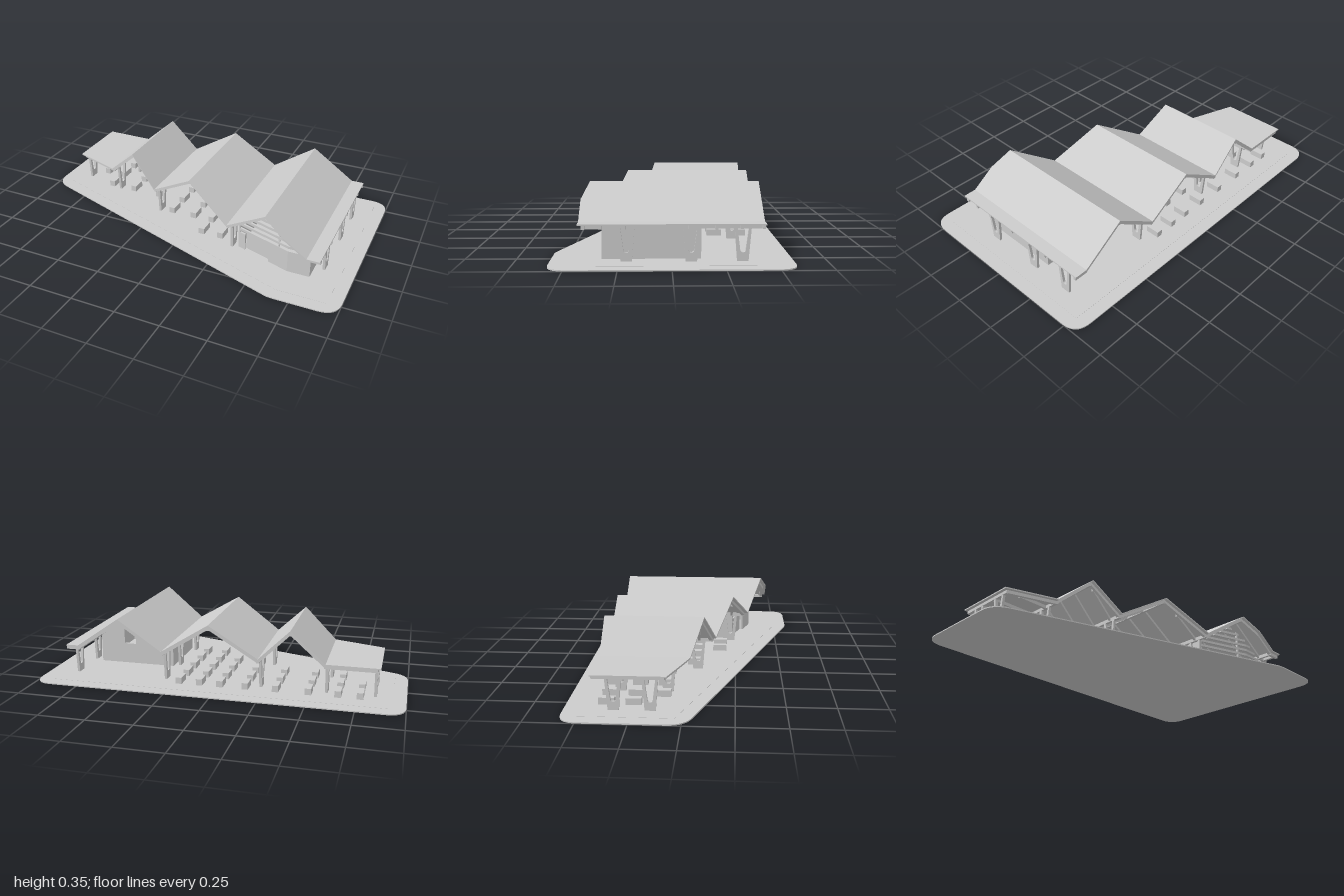
import * as THREE from 'three';

const mat = new THREE.MeshStandardMaterial({ color: 0xcccccc, flatShading: true, side: THREE.DoubleSide });
const FLOOR = 0.007;
const KINK = 0.66; // where the slanted front turns straight

// Folded roof line, left to right
const fold = [[-0.865, 0.19], [-0.585, 0.19], [-0.4, 0.355], [-0.23, 0.19], [0.04, 0.355],
  [0.305, 0.19], [0.55, 0.355], [0.79, 0.19], [0.86, 0.19]];

function roofY(x) {
  for (let i = 1; i < fold.length; i++) {
    const [x0, y0] = fold[i - 1], [x1, y1] = fold[i];
    if (x <= x1) return y0 + (y1 - y0) * (x - x0) / (x1 - x0);
  }
  return 0.19;
}
const roofFront = x => Math.min(0.445, 0.445 + (x - KINK) * 0.343);
const wallFront = x => Math.min(0.335, 0.335 + (x - KINK) * 0.343);

function add(parent, name, geometry) {
  const mesh = new THREE.Mesh(geometry, mat);
  mesh.name = name;
  parent.add(mesh);
  return mesh;
}

function group(parent, name) {
  const g = new THREE.Group();
  g.name = name;
  parent.add(g);
  return g;
}

// Block between two x values; its other limits are numbers or functions of x
function block(x0, x1, bottom, top, back, front) {
  const at = (f, x) => (typeof f === 'function' ? f(x) : f);
  const geo = new THREE.BoxGeometry(1, 1, 1);
  const p = geo.attributes.position;
  for (let i = 0; i < p.count; i++) {
    const x = p.getX(i) < 0 ? x0 : x1;
    p.setXYZ(i, x, at(p.getY(i) < 0 ? bottom : top, x), at(p.getZ(i) < 0 ? back : front, x));
  }
  geo.computeVertexNormals();
  return geo;
}

// Band following the roof line, starting at xStart, split at each fold
function band(parent, name, xStart, drop0, drop1, back, front) {
  const xs = [...fold.map(f => f[0]), KINK].filter(x => x > xStart).sort((a, b) => a - b);
  let x0 = Math.max(xStart, fold[0][0]);
  for (const x1 of xs) {
    add(parent, name, block(x0, x1, x => roofY(x) - drop1, x => roofY(x) - drop0, back, front));
    x0 = x1;
  }
}

// Flat slab from [x, z] corners with rounding radii
function slab(corners, height) {
  const shape = new THREE.Shape();
  const pts = corners.map(c => new THREE.Vector2(c[0], c[1]));
  pts.forEach((c, i) => {
    const r = corners[i][2];
    const toward = q => q.clone().sub(c).setLength(r).add(c);
    const a = toward(pts[(i + pts.length - 1) % pts.length]);
    const b = toward(pts[(i + 1) % pts.length]);
    if (i) shape.lineTo(a.x, a.y); else shape.moveTo(a.x, a.y);
    shape.quadraticCurveTo(c.x, c.y, b.x, b.y);
  });
  shape.closePath();
  return new THREE.ExtrudeGeometry(shape, { depth: height, bevelEnabled: false, curveSegments: 10 })
    .rotateX(Math.PI / 2).translate(0, height, 0);
}

// Tapered column with a deep rounded notch, seen from the side
function columnGeometry() {
  const s = new THREE.Shape();
  s.moveTo(-0.027, FLOOR);
  s.lineTo(0.027, FLOOR);
  s.lineTo(0.04, 0.168);
  s.lineTo(0.027, 0.168);
  s.lineTo(0.013, 0.06);
  s.quadraticCurveTo(0.011, 0.05, 0, 0.05);
  s.quadraticCurveTo(-0.011, 0.05, -0.013, 0.06);
  s.lineTo(-0.027, 0.168);
  s.lineTo(-0.04, 0.168);
  s.closePath();
  return new THREE.ExtrudeGeometry(s, { depth: 0.014, bevelEnabled: false, curveSegments: 5 })
    .translate(0, 0, -0.007).rotateY(-Math.PI / 2);
}

export function createModel() {
  const model = new THREE.Group();
  model.name = 'marketPavilion';

  // Paved ground with a slightly raised inner floor
  add(model, 'pavement', slab([[-1, -0.585, 0.1], [1, -0.585, 0.1], [1, 0.58, 0.1],
    [0.64, 0.58, 0.03], [-1, 0.018, 0.09]], FLOOR - 0.001));
  add(model, 'innerFloor', slab([[-0.93, -0.515, 0.005], [0.93, -0.515, 0.005], [0.93, 0.51, 0.005],
    [0.66, 0.51, 0.005], [-0.93, -0.035, 0.005]], FLOOR));

  // Folded roof: sheet, edge rafters and inner rafters
  const roof = group(model, 'roof');
  band(roof, 'roofSheet', -1, 0, 0.007, -0.45, roofFront);
  band(roof, 'frontRafter', -0.84, 0.007, 0.025, x => roofFront(x) - 0.035, x => roofFront(x) - 0.018);
  for (const z of [-0.445, -0.34, -0.22, -0.095, 0.04, 0.215, 0.33]) {
    const xStart = Math.max(-0.84, KINK + (z + 0.05 - 0.445) / 0.343);
    band(roof, 'rafter', xStart, 0.007, 0.025, z, z + 0.014);
  }
  // Beams along valleys, ridges and eaves
  for (const x of [-0.84, -0.585, -0.23, 0.305, 0.79, 0.835]) {
    add(roof, 'valleyBeam', block(x - 0.008, x + 0.008, 0.166, 0.186, -0.445, v => roofFront(v) - 0.018));
  }
  for (const x of [-0.4, 0.04, 0.55]) {
    add(roof, 'ridgeBeam', block(x - 0.007, x + 0.007, 0.325, 0.343, -0.445, v => roofFront(v) - 0.02));
  }

  // Columns under the valleys and eaves
  const columns = group(model, 'columns');
  const colGeo = columnGeometry();
  const places = [[-0.84, [-0.34, -0.16]], [-0.585, [-0.34, -0.095]], [-0.23, [-0.34, 0.04]],
    [0.308, [-0.34, -0.095, 0.215]], [0.835, [-0.34, -0.095, 0.215]]];
  for (const [x, zs] of places) {
    for (const z of zs) add(columns, 'column', colGeo).position.set(x, 0, z);
  }

  // Enclosed kiosk below the widest gable
  const kiosk = group(model, 'kiosk');
  const under = x => roofY(x) - 0.026;
  add(kiosk, 'rightHandWall', block(0.773, 0.785, FLOOR, under, -0.145, 0.335));
  add(kiosk, 'leftHandWall', block(0.34, 0.352, FLOOR, under, -0.145, wallFront));
  for (const [x0, x1] of [[0.34, 0.55], [0.55, 0.57], [0.64, 0.785]]) {
    add(kiosk, 'backWall', block(x0, x1, FLOOR, under, -0.145, -0.133));
  }
  add(kiosk, 'backWallSill', block(0.57, 0.64, FLOOR, 0.125, -0.145, -0.133));
  const inset = d => x => wallFront(x) - d;
  add(kiosk, 'frontWall', block(0.54, KINK, FLOOR, 0.125, inset(0.012), wallFront));
  add(kiosk, 'frontWall', block(KINK, 0.785, FLOOR, 0.125, 0.323, 0.335));
  add(kiosk, 'doorPanel', block(0.352, 0.385, FLOOR, 0.105, inset(0.012), wallFront));
  add(kiosk, 'shutter', block(0.385, 0.54, FLOOR, 0.105, inset(0.03), inset(0.02)));
  add(kiosk, 'gablePost', block(0.598, 0.606, 0.125, under, inset(0.012), inset(0.002)));

  // Louvres filling the front gable
  for (let i = 0; i < 7; i++) {
    const y = 0.118 + i * 0.031, top = y + 0.014;
    const rise = Math.max(0, top + 0.026 - 0.19) / 0.165;
    const x0 = Math.max(0.34, 0.305 + 0.245 * rise);
    const x1 = Math.min(0.785, 0.79 - 0.24 * rise);
    add(kiosk, 'louvre', block(x0, Math.min(x1, KINK), y, top, inset(0.012), wallFront));
    if (x1 > KINK) add(kiosk, 'louvre', block(KINK, x1, y, top, 0.323, 0.335));
  }

  // Rows of market stalls in the open hall
  const stalls = group(model, 'stalls');
  const stallGeo = new THREE.BoxGeometry(0.034, 0.035, 0.08);
  for (const x of [-0.765, -0.65, -0.495, -0.32, -0.155, -0.015, 0.1, 0.215]) {
    for (let z = -0.385; z < roofFront(x) - 0.09; z += 0.135) {
      add(stalls, 'stall', stallGeo).position.set(x, FLOOR + 0.0175, z);
    }
  }
  return model;
}
